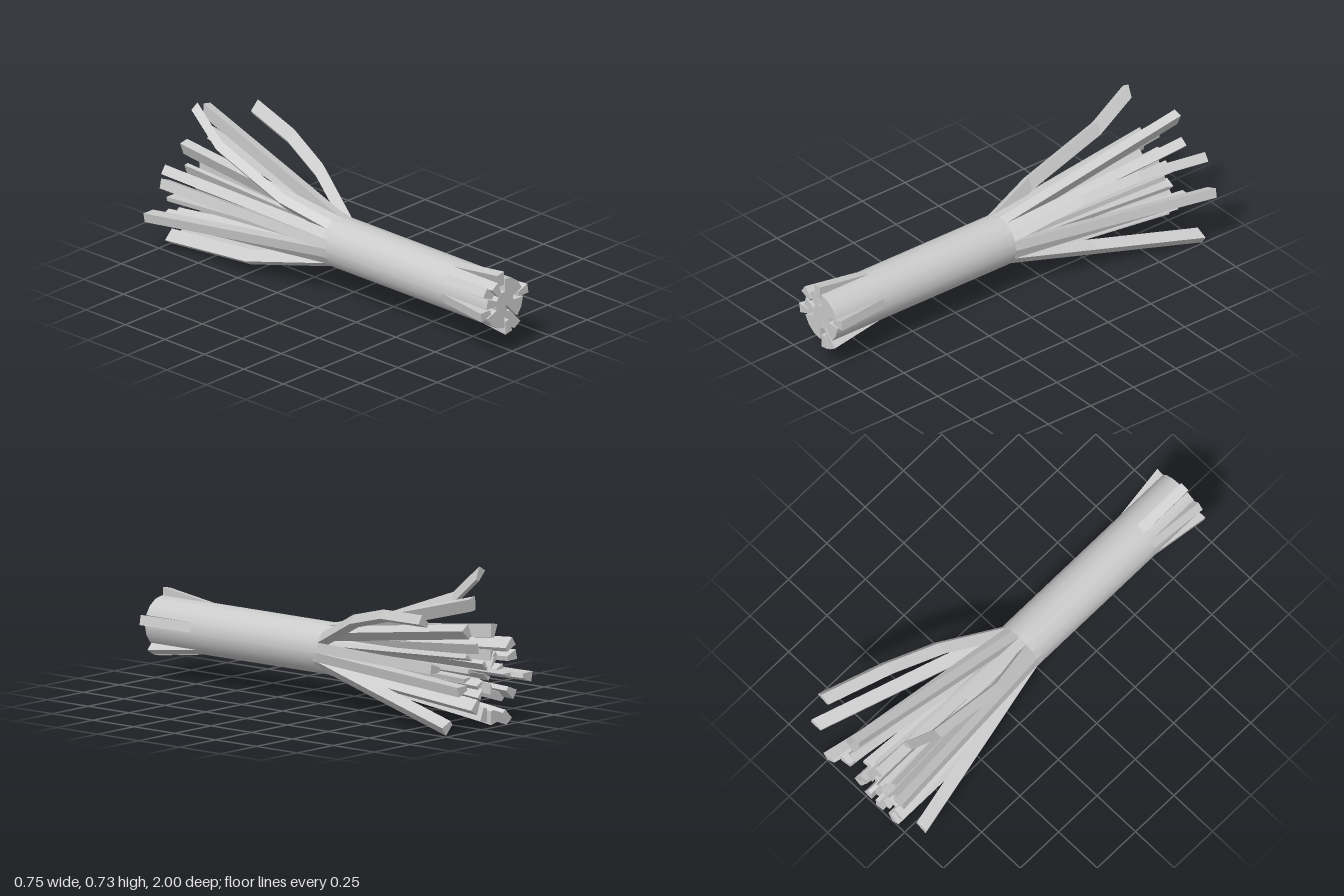
import * as THREE from 'three';

const CX = -0.05, CY = 0.26, R = 0.122, INNER = 0.058;
const STEP = Math.PI / 8, START = THREE.MathUtils.degToRad(10);
const BACK = -0.05, NOTCH_Z = 0.72;
const angleOf = k => START + k * STEP;
const polar = (r, a) => new THREE.Vector2(CX + r * Math.cos(a), CY + r * Math.sin(a));

// Wedge cross-section of the bundle, counter-clockwise seen from the front
function wedge(a, r0, r1, half = STEP / 2) {
  return [polar(r0, a - half), polar(r1, a - half), polar(r1, a + half), polar(r0, a + half)];
}

// Closed flat-shaded strip through four-cornered sections ordered front to back
function loft(sections) {
  const pos = [];
  const tri = (...pts) => pts.forEach(p => pos.push(p.x, p.y, p.z));
  for (let i = 0; i + 1 < sections.length; i++) {
    const s = sections[i], n = sections[i + 1];
    for (let j = 0; j < 4; j++) {
      const k = (j + 1) % 4;
      tri(s[j], n[j], n[k]);
      tri(s[j], n[k], s[k]);
    }
  }
  const f = sections[0], b = sections[sections.length - 1];
  tri(f[0], f[1], f[2]); tri(f[0], f[2], f[3]);
  tri(b[0], b[2], b[1]); tri(b[0], b[3], b[2]);
  const g = new THREE.BufferGeometry();
  g.setAttribute('position', new THREE.Float32BufferAttribute(pos, 3));
  g.computeVertexNormals();
  return g;
}

// Strand whose outer face runs from the rim through the given points
function strand(a, r0, r1, path) {
  const section = wedge(a, r0, r1);
  const mid = section[1].clone().add(section[2]).multiplyScalar(0.5);
  const points = [[mid.x, mid.y, BACK + 0.03], [mid.x, mid.y, BACK], ...path];
  return loft(points.map(([x, y, z]) =>
    section.map(p => new THREE.Vector3(p.x + x - mid.x, p.y + y - mid.y, z))));
}

// Prism with the bundle's rim, optionally notched, smooth around the rim
function prism(z0, z1, notches) {
  const pts = [];
  const add = p => {
    if (!pts.length || pts[pts.length - 1].distanceTo(p) > 1e-5) pts.push(p);
  };
  for (let k = 0; k < 16; k++) {
    const a0 = angleOf(k) - STEP / 2, a1 = a0 + STEP;
    if (k in notches) {
      if (!((k + 15) % 16 in notches)) add(polar(R, a0));
      add(polar(notches[k], a0));
      add(polar(notches[k], a1));
      if (!((k + 1) % 16 in notches)) add(polar(R, a1));
    } else {
      add(polar(R, a0));
      add(polar(R, a1));
    }
  }
  if (pts[0].distanceTo(pts[pts.length - 1]) < 1e-5) pts.pop();
  const g = new THREE.ExtrudeGeometry(new THREE.Shape(pts), { depth: z1 - z0, bevelEnabled: false });
  g.translate(0, 0, z0);
  const p = g.attributes.position, n = g.attributes.normal;
  for (let i = 0; i < p.count; i++) {
    const x = p.getX(i) - CX, y = p.getY(i) - CY, r = Math.hypot(x, y);
    if (r > R - 0.005 && (n.getX(i) * x + n.getY(i) * y) / r > 0.9) n.setXYZ(i, x / r, y / r, 0);
  }
  return g;
}

export function createModel() {
  const model = new THREE.Group();
  const material = new THREE.MeshStandardMaterial({ color: 0xcccccc });
  const add = (parent, name, geometry) => {
    const mesh = new THREE.Mesh(geometry, material);
    mesh.name = name;
    parent.add(mesh);
  };
  const group = name => {
    const g = new THREE.Group();
    g.name = name;
    model.add(g);
    return g;
  };

  // Solid shaft and its split front end (segment: notch depth)
  const notches = { 0: INNER, 4: INNER, 6: INNER, 8: INNER, 12: INNER, 13: 0.018 };
  add(model, 'shaft', prism(BACK, NOTCH_Z, {}));
  add(model, 'splitFrontEnd', prism(NOTCH_Z, 1, notches));

  // Splinters bent out of the front notches
  const splinters = group('frontSplinters');
  for (const k of Object.keys(notches)) {
    const a = angleOf(Number(k)), out = 0.038;
    const base = wedge(a, notches[k], R);
    const shift = new THREE.Vector2(Math.cos(a), Math.sin(a)).multiplyScalar(out);
    add(splinters, 'frontSplinter', loft([
      base.map(p => new THREE.Vector3(p.x + shift.x, p.y + shift.y, 1)),
      base.map(p => new THREE.Vector3(p.x, p.y, NOTCH_Z)),
    ]));
  }

  // Outer strands, one per rim segment, fanning out at the back
  const outer = group('outerStrands');
  const paths = [
    [[0.355, 0.335, -1]],
    [[0.18, 0.467, -0.36], [0.265, 0.535, -0.62], [0.36, 0.56, -0.94]],
    [[0.117, 0.497, -1]],
    [[0.07, 0.63, -1]],
    [[-0.085, 0.488, -1]],
    [[-0.168, 0.435, -0.3], [-0.165, 0.58, -0.7], [-0.15, 0.722, -0.87]],
    [[-0.222, 0.39, -1]],
    [[-0.24, 0.325, -1]],
    [[-0.37, 0.2, -0.98]],
    [[-0.23, 0.138, -1]],
    [[-0.203, 0.07, -0.48], [-0.19, 0.018, -1]],
    [[-0.087, 0.022, -1]],
    [[-0.012, 0.04, -1]],
    [[0.055, 0.09, -1]],
    [[0.128, 0.108, -0.48], [0.263, 0.03, -1]],
    [[0.165, 0.2, -1]],
  ];
  paths.forEach((path, k) => add(outer, 'outerStrand', strand(angleOf(k), INNER, R, path)));

  // Thin inner strands filling the middle of the fan
  const inner = group('innerStrands');
  const reach = [0.09, 0.19, 0.07, 0.14, 0.11, 0.08, 0.13, 0.1, 0.15, 0.07, 0.165, 0.1, 0.08, 0.13, 0.1, 0.12];
  reach.forEach((r, k) => {
    const a = angleOf(k), tip = polar(r, a);
    add(inner, 'innerStrand', strand(a, 0.006, INNER, [[tip.x, tip.y, k % 3 ? -1 : -0.95]]));
  });

  return model;
}
